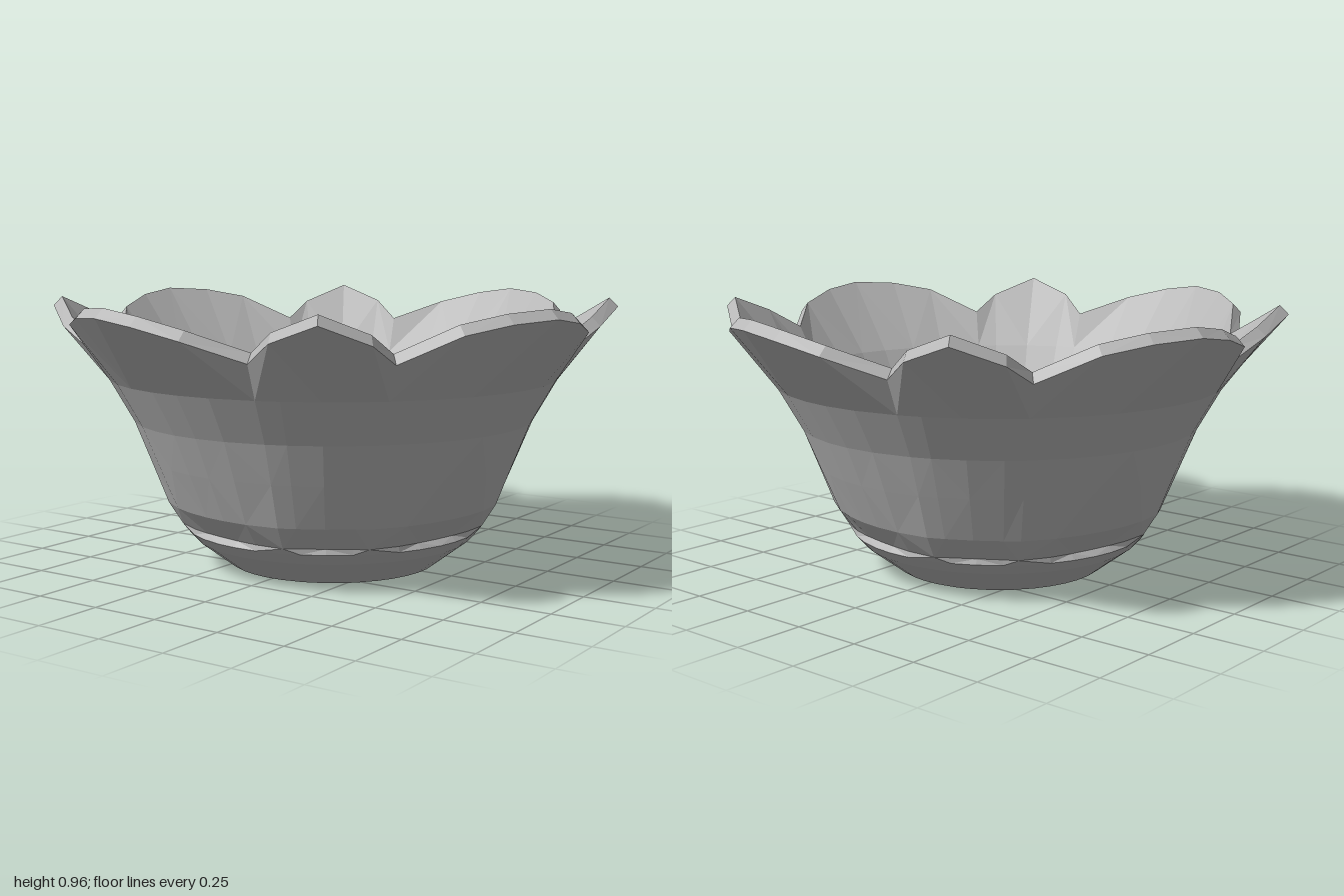
import * as THREE from 'three';

// One quarter of the rim: [angle in degrees, radius, height]; notches are the low points
const QUARTER = [
  [-16.4, 0.867, 0.80], [-4.8, 0.963, 0.87], [4.6, 1.003, 0.91], [13, 1.02, 0.93], [22.7, 0.997, 0.92],
  [31.9, 0.966, 0.89], [43.6, 0.885, 0.80], [49, 0.962, 0.865], [58.6, 1.02, 0.93], [67.8, 0.95, 0.87],
];
// How far each column lies from its petal's notches (0) to its middle (1)
const PETAL = [0, 0.55, 0.9, 1, 0.85, 0.5, 0, 0.4, 0.6, 0.4];

const COLUMNS = [];
for (let q = 0; q < 4; q++) {
  QUARTER.forEach(([deg, r, y], i) => {
    COLUMNS.push({ a: THREE.MathUtils.degToRad(deg + q * 90), r, y, petal: PETAL[i] });
  });
}

// Plain ring; dent pulls the petal middles inwards
const ring = (r, y, dent = 0) => COLUMNS.map((c) => {
  const rr = r - dent * c.petal;
  return new THREE.Vector3(Math.cos(c.a) * rr, y, Math.sin(c.a) * rr);
});

// Scalloped ring along the petal edge
const rimRing = (dr, dy) => COLUMNS.map((c) =>
  new THREE.Vector3(Math.cos(c.a) * (c.r + dr), c.y + dy, Math.sin(c.a) * (c.r + dr)));

// Faceted skin between consecutive rings
function skin(name, rings, material) {
  const pos = [];
  const tri = (a, b, c) => {
    if (a.distanceTo(b) < 1e-6 || b.distanceTo(c) < 1e-6 || c.distanceTo(a) < 1e-6) return;
    for (const p of [a, b, c]) pos.push(p.x, p.y, p.z);
  };
  const n = COLUMNS.length;
  for (let k = 0; k + 1 < rings.length; k++) {
    for (let i = 0; i < n; i++) {
      const j = (i + 1) % n;
      const a = rings[k][i], b = rings[k + 1][i], c = rings[k + 1][j], d = rings[k][j];
      if ((i + k) % 2) {
        tri(a, b, c);
        tri(a, c, d);
      } else {
        tri(a, b, d);
        tri(b, c, d);
      }
    }
  }
  const geo = new THREE.BufferGeometry();
  geo.setAttribute('position', new THREE.Float32BufferAttribute(pos, 3));
  geo.computeVertexNormals();
  const mesh = new THREE.Mesh(geo, material);
  mesh.name = name;
  return mesh;
}

export function createModel() {
  const group = new THREE.Group();
  group.name = 'petalBowl';
  const grey = new THREE.MeshStandardMaterial({ color: 0xb8b8b8 });
  grey.name = 'bowlGrey';
  grey.flatShading = true;

  const outerEdge = rimRing(0, 0);
  const innerEdge = rimRing(-0.032, 0.032);

  // Flat underside
  group.add(skin('base', [ring(0, 0), ring(0.38, 0)], grey));

  // Outside wall, with shallow ledges at the foot of the petals
  group.add(skin('outerWall', [
    ring(0.38, 0), ring(0.505, 0.095), ring(0.54, 0.135), ring(0.555, 0.155, 0.035),
    ring(0.605, 0.235, 0.015), ring(0.665, 0.39, 0.005), ring(0.72, 0.53), ring(0.805, 0.68), outerEdge,
  ], grey));

  // Sloped lip along the petal edges
  group.add(skin('rim', [outerEdge, innerEdge], grey));

  // Inside wall and floor
  group.add(skin('innerWall', [
    innerEdge, ring(0.77, 0.70), ring(0.67, 0.53), ring(0.615, 0.39), ring(0.56, 0.24),
    ring(0.485, 0.135), ring(0.41, 0.075),
  ], grey));
  group.add(skin('floor', [ring(0.41, 0.075), ring(0, 0.05)], grey));

  return group;
}
